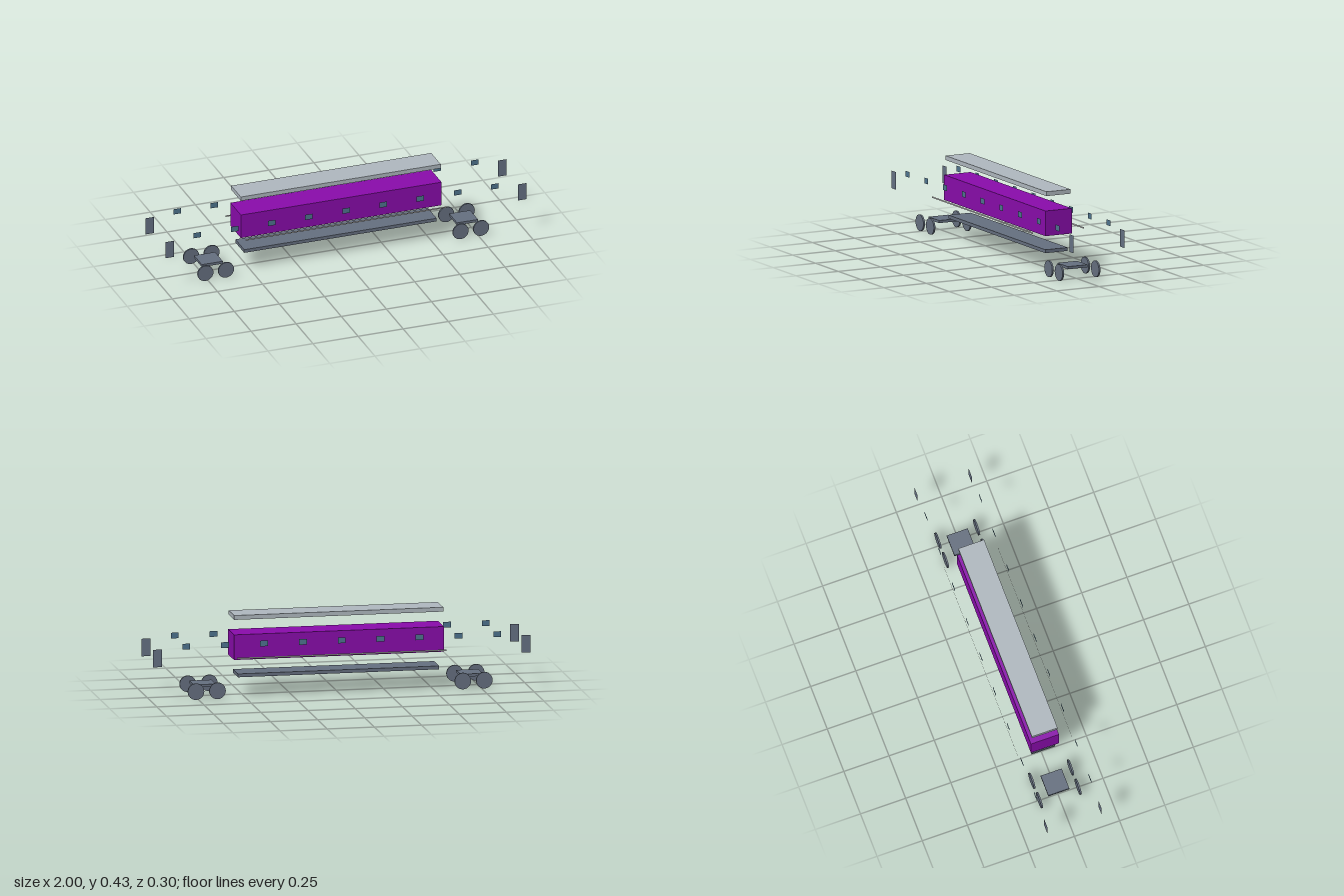
import * as THREE from 'three';

const mat = (name, color, side = THREE.FrontSide) => {
  const m = new THREE.MeshStandardMaterial({ color, side });
  m.name = name;
  return m;
};

export function createModel() {
  const model = new THREE.Group();
  model.name = 'explodedRailCar';

  const purple = mat('body purple', 0x8a0cac);
  const silver = mat('roof silver', 0xb0b9c0);
  const slate = mat('chassis slate', 0x667080);
  const doorGrey = mat('door slate', 0x667285, THREE.DoubleSide);
  const glass = mat('window blue', 0x4f7590, THREE.DoubleSide);
  const trim = mat('stripe grey', 0xb4b4b4, THREE.DoubleSide);

  const add = (parent, name, geometry, material, x, y, z) => {
    const mesh = new THREE.Mesh(geometry, material);
    mesh.name = name;
    mesh.position.set(x, y, z);
    parent.add(mesh);
    return mesh;
  };

  // Stacked main parts, separated vertically
  add(model, 'body', new THREE.BoxGeometry(1.112, 0.133, 0.155), purple, 0, 0.2635, 0);
  add(model, 'roof', new THREE.BoxGeometry(1.108, 0.023, 0.142), silver, 0, 0.4195, 0);
  add(model, 'underframe', new THREE.BoxGeometry(1.066, 0.018, 0.131), slate, 0, 0.111, 0);

  // Flat side panels, held away from both sides of the body
  const windowGeo = new THREE.PlaneGeometry(0.042, 0.03);
  const doorGeo = new THREE.PlaneGeometry(0.047, 0.093);
  const stripeGeo = new THREE.PlaneGeometry(1.112, 0.008);
  for (const side of [1, -1]) {
    const panels = new THREE.Group();
    panels.name = side > 0 ? 'frontPanels' : 'backPanels';
    panels.position.z = side * 0.15;
    if (side < 0) panels.rotation.y = Math.PI;
    for (let i = -4; i <= 4; i++) add(panels, 'window', windowGeo, glass, i * 0.206, 0.293, 0);
    for (const end of [-1, 1]) add(panels, 'door', doorGeo, doorGrey, end * 0.9765, 0.236, 0);
    add(panels, 'stripe', stripeGeo, trim, 0, 0.219, 0);
    model.add(panels);
  }

  // Bogies: a flat frame with four detached wheels
  const frameGeo = new THREE.BoxGeometry(0.116, 0.014, 0.116);
  const wheelGeo = new THREE.CylinderGeometry(0.0435, 0.0435, 0.009, 24).rotateX(Math.PI / 2);
  for (const end of [-1, 1]) {
    const bogie = new THREE.Group();
    bogie.name = end > 0 ? 'leftBogie' : 'rightBogie';
    bogie.position.x = end * 0.707;
    add(bogie, 'bogieFrame', frameGeo, slate, 0, 0.063, 0);
    for (const dx of [-0.057, 0.057])
      for (const z of [-0.107, 0.107]) add(bogie, 'wheel', wheelGeo, slate, dx, 0.0435, z);
    model.add(bogie);
  }
  return model;
}
